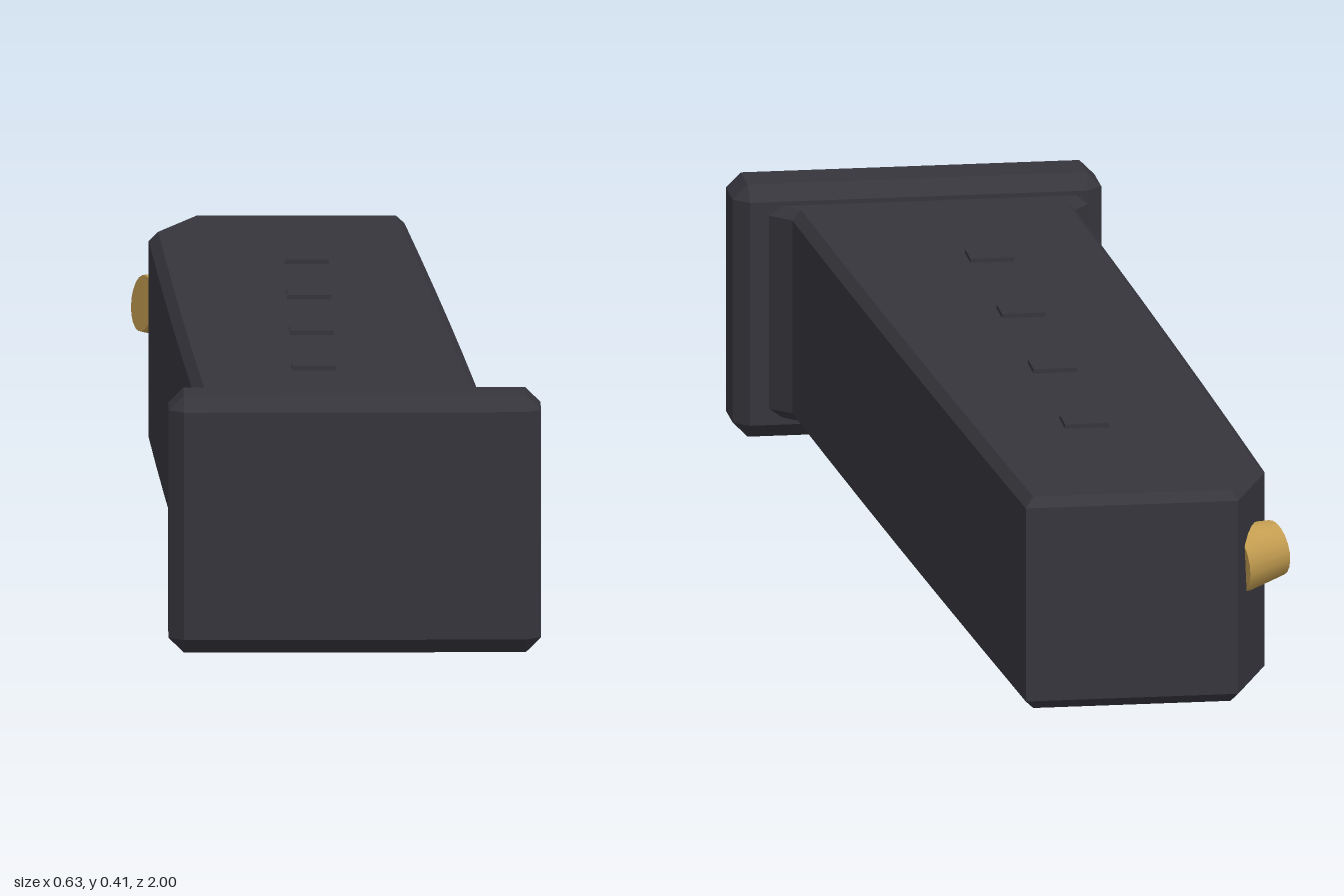
import * as THREE from 'three';
import { ConvexGeometry } from 'three/addons/geometries/ConvexGeometry.js';

// Box with every edge and corner cut at 45 degrees
function chamferedBox(w, h, d, c) {
  const points = [];
  for (const sx of [-1, 1]) for (const sy of [-1, 1]) for (const sz of [-1, 1]) {
    const x = w / 2, y = h / 2, z = d / 2;
    points.push(
      new THREE.Vector3(sx * x, sy * (y - c), sz * (z - c)),
      new THREE.Vector3(sx * (x - c), sy * y, sz * (z - c)),
      new THREE.Vector3(sx * (x - c), sy * (y - c), sz * z));
  }
  return new ConvexGeometry(points);
}

export function createModel() {
  const group = new THREE.Group();
  const dark = new THREE.MeshStandardMaterial({ name: 'dark casing', color: 0x36353c });
  const brass = new THREE.MeshStandardMaterial({ name: 'brass', color: 0xc29c50 });

  const add = (name, geometry, material, x = 0, y = 0, z = 0) => {
    const mesh = new THREE.Mesh(geometry, material);
    mesh.name = name;
    mesh.position.set(x, y, z);
    group.add(mesh);
    return mesh;
  };

  // Long body: gently curved outline (shape y is -z), chamfered top and bottom
  const outline = new THREE.Shape();
  outline.moveTo(-0.25, -0.89);
  outline.lineTo(-0.25, -0.875);
  outline.lineTo(-0.225, -0.84);
  const right = [0.26, -0.875, 0.26, -0.89];
  const bevel = 0.015, bottom = 0.036, height = 0.346;
  outline.quadraticCurveTo(-0.262, 0, -0.287, 0.83);
  outline.lineTo(-0.22, 1);
  outline.lineTo(0.12, 1);
  outline.quadraticCurveTo(0.188, -0.05, 0.228, -0.84);
  outline.lineTo(right[0], right[1]);
  outline.lineTo(right[2], right[3]);
  outline.closePath();
  const body = new THREE.ExtrudeGeometry(outline, {
    depth: height - 2 * bevel, curveSegments: 6,
    bevelEnabled: true, bevelSegments: 1,
    bevelSize: bevel, bevelThickness: bevel, bevelOffset: -bevel,
  });
  body.rotateX(-Math.PI / 2);
  add('body', body, dark, 0, bottom + bevel, 0);

  // Base plate at the front end
  add('basePlate', chamferedBox(0.59, 0.413, 0.125, 0.024), dark, 0.02, 0.2065, 0.9375);

  // Small raised pads along both broad faces
  for (const z of [0.51, 0.16, -0.19, -0.54]) {
    for (const y of [bottom, bottom + height]) {
      add('pad', new THREE.BoxGeometry(0.07, 0.014, 0.062), dark, -0.04, y, z);
    }
  }

  // Tapered brass tip poking through the cut corner
  const axis = new THREE.Vector3(-0.92, 0.12, 0.36).normalize();
  const length = 0.08;
  const tip = add('brassTip', new THREE.CylinderGeometry(0.045, 0.057, length, 20), brass);
  tip.quaternion.setFromUnitVectors(new THREE.Vector3(0, 1, 0), axis);
  tip.position.set(-0.297, 0.258, -0.885).addScaledVector(axis, -length / 2);

  return group;
}
